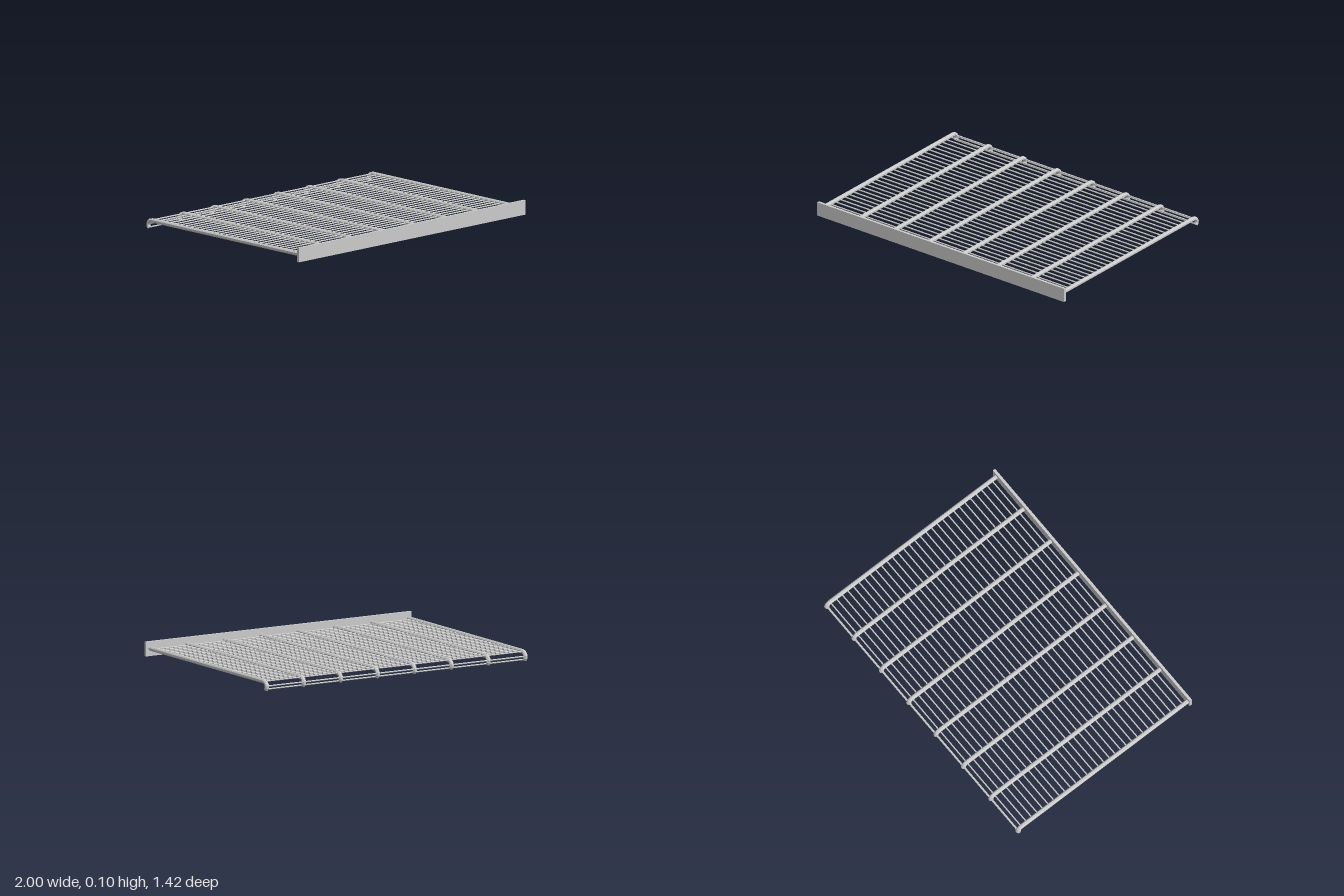
import * as THREE from 'three';

const SIDES = 8, R = 0.0145, BAR_Y = 0.065;

// Side profile of a support bar as [z, y]: straight run, then a hook curling down
const profile = [
  [0.7, BAR_Y], [-0.657, BAR_Y], [-0.672, 0.061], [-0.684, 0.052],
  [-0.691, 0.039], [-0.69, 0.026], [-0.682, 0.014],
];

// Sweeps a regular polygon along the profile and closes both ends
function sweepBar(points, radius) {
  const pos = [], index = [];
  points.forEach(([z, y], i) => {
    const a = points[Math.max(i - 1, 0)], b = points[Math.min(i + 1, points.length - 1)];
    const t = new THREE.Vector2(b[0] - a[0], b[1] - a[1]).normalize();
    for (let s = 0; s < SIDES; s++) {
      const ang = ((s + 0.5) / SIDES) * Math.PI * 2;
      const u = Math.cos(ang) * radius, v = Math.sin(ang) * radius;
      pos.push(u, y - t.x * v, z + t.y * v);
    }
  });
  for (let i = 0; i < points.length - 1; i++) {
    for (let s = 0; s < SIDES; s++) {
      const a = i * SIDES + s, b = i * SIDES + (s + 1) % SIDES;
      index.push(a, b, a + SIDES, b, b + SIDES, a + SIDES);
    }
  }
  const last = (points.length - 1) * SIDES;
  for (let s = 1; s < SIDES - 1; s++) {
    index.push(0, s + 1, s, last, last + s, last + s + 1);
  }
  const g = new THREE.BufferGeometry();
  g.setAttribute('position', new THREE.Float32BufferAttribute(pos, 3));
  g.setIndex(index);
  const flat = g.toNonIndexed();
  flat.computeVertexNormals();
  return flat;
}

export function createModel() {
  const model = new THREE.Group();
  model.name = 'wireShelf';
  const material = new THREE.MeshStandardMaterial({
    color: 0xcccccc, flatShading: true, side: THREE.DoubleSide,
  });
  const add = (name, geometry, x, y, z) => {
    const mesh = new THREE.Mesh(geometry, material);
    mesh.name = name;
    mesh.position.set(x, y, z);
    model.add(mesh);
    return mesh;
  };

  // Front plate
  add('frontPlate', new THREE.BoxGeometry(2, 0.094, 0.018), 0, 0.063, 0.702);

  // Eight hooked support bars running front to back
  const firstX = -0.98, pitchX = 0.278, count = 8;
  const barGeometry = sweepBar(profile, R);
  for (let i = 0; i < count; i++) {
    add(`supportBar${i + 1}`, barGeometry, firstX + i * pitchX, 0, 0);
  }

  // Thin cross wires: evenly spaced on the deck, the last two inside the hook
  const span = pitchX * (count - 1);
  const wireGeometry = new THREE.CylinderGeometry(0.0048, 0.0048, span, SIDES).rotateZ(Math.PI / 2);
  const seats = [[-0.691, 0.038], [-0.682, 0.017]];
  for (let i = 0; i < 30; i++) seats.push([0.655 - i * 0.0454, BAR_Y]);
  seats.forEach(([z, y], i) => add(`crossWire${i + 1}`, wireGeometry, firstX + span / 2, y, z));

  return model;
}
